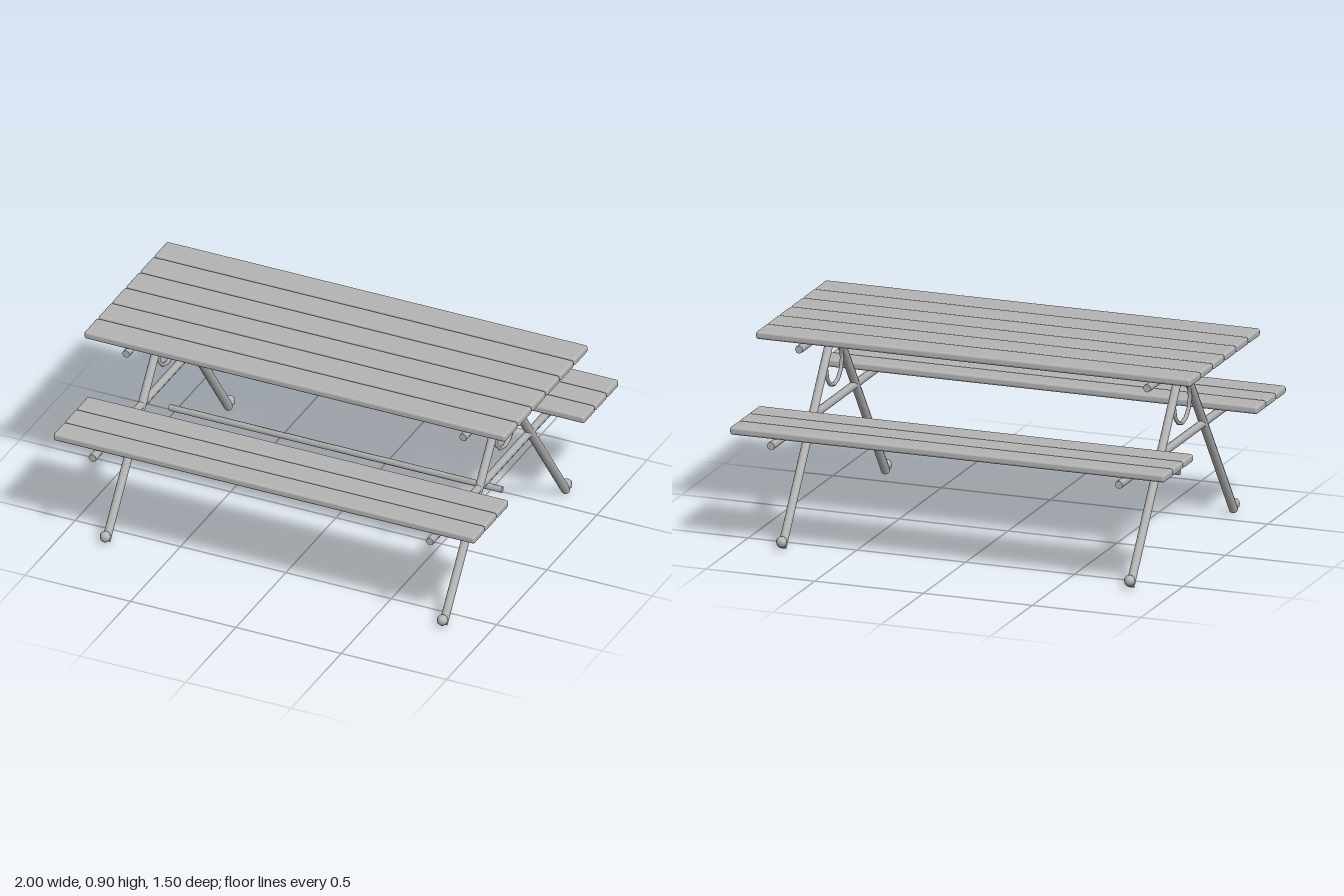
import * as THREE from 'three';
import { RoundedBoxGeometry } from 'three/addons/geometries/RoundedBoxGeometry.js';

export function createModel() {
  const group = new THREE.Group();
  const grey = new THREE.MeshStandardMaterial({ color: 0xb4b4b4 });
  grey.name = 'grey';
  const UP = new THREE.Vector3(0, 1, 0);

  function add(name, geometry, x = 0, y = 0, z = 0) {
    const mesh = new THREE.Mesh(geometry, grey);
    mesh.name = name;
    mesh.position.set(x, y, z);
    group.add(mesh);
    return mesh;
  }

  // Straight tube between two points
  function bar(name, from, to, radius, sides) {
    const a = new THREE.Vector3(...from), b = new THREE.Vector3(...to);
    const dir = b.clone().sub(a);
    const mesh = add(name, new THREE.CylinderGeometry(radius, radius, dir.length(), sides));
    mesh.position.copy(a).add(b).multiplyScalar(0.5);
    mesh.quaternion.setFromUnitVectors(UP, dir.normalize());
  }

  // Planks with softened edges
  const tablePlank = new RoundedBoxGeometry(2, 0.036, 0.131, 2, 0.012);
  const benchPlank = new RoundedBoxGeometry(2, 0.036, 0.112, 2, 0.012);
  for (const side of [-1, 1]) {
    for (let i = 0; i < 3; i++) {
      add('tablePlank', tablePlank, 0, 0.882, side * (0.07 + i * 0.14));
      add('benchPlank', benchPlank, 0, 0.54, side * (0.431 + i * 0.118));
    }
  }

  // Two tubular end frames
  for (const x of [-0.8, 0.8]) {
    bar('tableSupport', [x, 0.839, -0.415], [x, 0.839, 0.415], 0.018, 8);
    bar('benchSupport', [x, 0.5, -0.748], [x, 0.5, 0.748], 0.018, 8);
    for (const side of [-1, 1]) {
      bar('leg', [x, 0.845, 0], [x, 0.011, side * 0.612], 0.02, 8);
      add('foot', new THREE.SphereGeometry(0.025, 8, 6), x, 0.036, side * 0.62);
    }
    // Ring between the legs
    const ring = add('braceRing', new THREE.TorusGeometry(0.094, 0.009, 6, 12), x, 0.663, 0);
    ring.rotation.y = Math.PI / 2;
  }

  // Long rail beneath the table
  bar('lowerRail', [-0.79, 0.347, 0], [0.79, 0.347, 0], 0.015, 5);

  return group;
}
